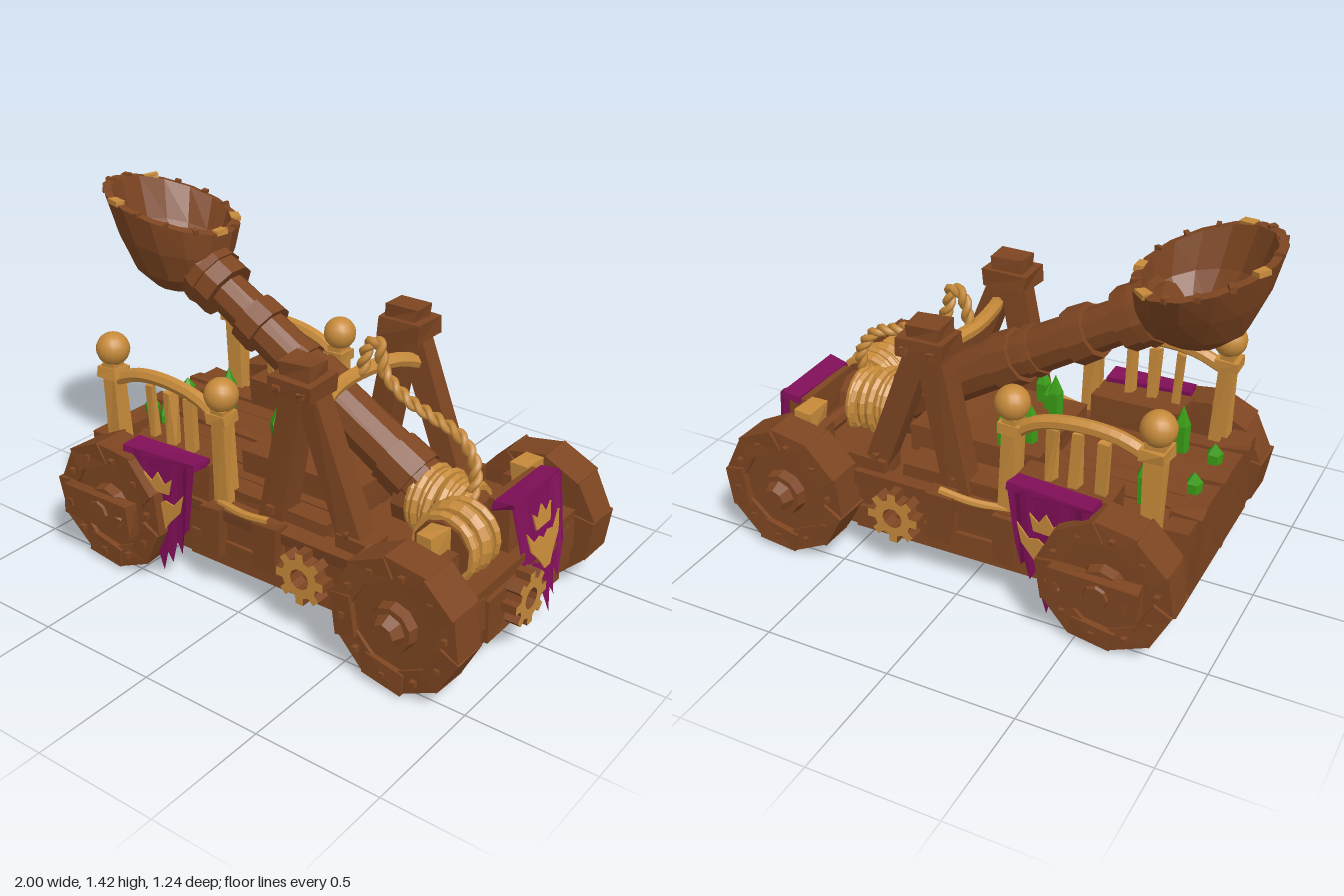
import * as THREE from 'three';

const mat = (name, color) => Object.assign(new THREE.MeshStandardMaterial({ color }), { name });
const V = (x, y, z = 0) => new THREE.Vector3(x, y, z);

export function createModel() {
  const root = new THREE.Group();
  root.name = 'catapult';
  const wood = mat('brown wood', 0x7d4521), tan = mat('pale wood and rope', 0xc68a3a);
  const cloth = mat('purple cloth', 0x800f58), green = mat('green shard', 0x3a9c16);
  cloth.side = THREE.DoubleSide;

  let seed = 7;
  const rnd = () => ((seed = (seed * 16807) % 2147483647) / 2147483647) - 0.5;
  const flat = (g) => {
    const f = g.index ? g.toNonIndexed() : g;
    f.computeVertexNormals();
    return f;
  };
  const bend = (g, rule) => {
    const p = g.attributes.position, v = V(0, 0);
    for (let i = 0; i < p.count; i++) {
      rule(v.fromBufferAttribute(p, i));
      p.setXYZ(i, v.x, v.y, v.z);
    }
    return flat(g);
  };
  const add = (name, geo, m, parent = root) => {
    const mesh = new THREE.Mesh(geo, m);
    mesh.name = name;
    parent.add(mesh);
    return mesh;
  };
  // roughly hewn block: each corner is shifted a little
  const hewn = (w, h, d, amt = 0.007) => {
    const shift = Array.from({ length: 8 }, () => V(rnd() * amt * 2, rnd() * amt * 2, rnd() * amt * 2));
    return bend(new THREE.BoxGeometry(w, h, d), (v) => v.add(shift[(v.x > 0) + 2 * (v.y > 0) + 4 * (v.z > 0)]));
  };
  const box = (name, x0, x1, y0, y1, z0, z1, m = wood, parent = root) => {
    const b = add(name, hewn(x1 - x0, y1 - y0, z1 - z0), m, parent);
    b.position.set((x0 + x1) / 2, (y0 + y1) / 2, (z0 + z1) / 2);
    return b;
  };
  const along = (mesh, a, b) => {
    mesh.position.copy(a).add(b).multiplyScalar(0.5);
    mesh.quaternion.setFromUnitVectors(V(0, 1), b.clone().sub(a).normalize());
    return mesh;
  };
  const beam = (name, a, b, w, d, m = wood) => along(add(name, hewn(w, a.distanceTo(b), d), m), a, b);
  const rod = (name, a, b, r0, r1, m = wood, n = 10) =>
    along(add(name, flat(new THREE.CylinderGeometry(r1, r0, a.distanceTo(b), n)), m), a, b);
  const tube = (name, pts, r, m = tan) =>
    add(name, flat(new THREE.TubeGeometry(new THREE.CatmullRomCurve3(pts), 16, r, 7)), m);

  // chassis and deck
  box('hull', -0.83, 0.91, 0.11, 0.35, -0.4, 0.4);
  for (let i = 0; i < 8; i++) box('deckPlank', -0.83, 0.3, 0.34, 0.42 + rnd() * 0.012, -0.36 + i * 0.09, -0.275 + i * 0.09);
  box('armBed', -0.2, 0.34, 0.4, 0.51, -0.22, 0.22);
  box('rearBeam', -0.85, -0.76, 0.35, 0.46, -0.38, 0.38);
  box('frontBeam', 0.78, 0.93, 0.13, 0.3, -0.26, 0.26);
  box('bannerBeam', 0.77, 0.86, 0.34, 0.54, -0.29, 0.02);
  for (const z of [-0.25, 0, 0.25]) box('rearStrap', -0.865, -0.74, 0.2, 0.475, z - 0.035, z + 0.035);

  // wheel: plank disc, blocky tyre and pointed hub, facing local +z
  const makeWheel = (x, s, planked) => {
    const w = new THREE.Group();
    w.name = 'wheel';
    w.position.set(x, 0.272, s * 0.475);
    if (s < 0) w.rotation.y = Math.PI;
    root.add(w);
    const disc = (name, r0, r1, d, z, n) => {
      const c = add(name, flat(new THREE.CylinderGeometry(r1, r0, d, n)), wood, w);
      c.rotation.x = Math.PI / 2;
      c.position.z = z;
    };
    disc('wheelDisc', 0.2, 0.2, 0.11, 0, 12);
    disc('hub', 0.1, 0.085, 0.07, 0.06, 10);
    disc('hubCap', 0.07, 0.045, 0.06, 0.11, 8);
    disc('axle', 0.07, 0.07, 0.2, -0.14, 8);
    for (let i = 0; i < 10; i++) {
      const a = (i / 10) * Math.PI * 2 + 0.15;
      const t = add('tyreBlock', hewn(0.085, 0.165, 0.14 + (i % 2) * 0.02, 0.005), wood, w);
      t.position.set(Math.cos(a) * 0.212, Math.sin(a) * 0.212, 0);
      t.rotation.z = a;
      const k = add('rimBolt', hewn(0.02, 0.02, 0.02, 0.002), wood, w);
      k.position.set(Math.cos(a) * 0.21, Math.sin(a) * 0.21, 0.08);
    }
    if (planked) {
      box('wheelGuard', -0.19, 0.15, -0.07, 0.06, 0.07, 0.13, wood, w);
      for (const bx of [-0.15, 0.11]) box('guardBolt', bx - 0.012, bx + 0.012, -0.02, 0.01, 0.125, 0.14, wood, w);
    }
  };

  // toothed cog: pale faces, brown edges
  const makeCog = (x, y, z, ry) => {
    const s = new THREE.Shape(), n = 8;
    for (let i = 0; i < n; i++)
      [[-0.3, 0.078], [-0.2, 0.108], [0.2, 0.108], [0.3, 0.078]].forEach(([o, r], j) => {
        const a = ((i + o) / n) * Math.PI * 2;
        s[i + j ? 'lineTo' : 'moveTo'](Math.cos(a) * r, Math.sin(a) * r);
      });
    s.holes.push(new THREE.Path().absarc(0, 0, 0.042, 0, Math.PI * 2, true));
    const g = new THREE.ExtrudeGeometry(s, { depth: 0.06, bevelEnabled: false, curveSegments: 5 });
    const c = add('cog', g, [tan, wood]);
    c.position.set(x, y, z);
    c.rotation.y = ry;
  };
  makeCog(0.935, 0.24, 0.07, Math.PI / 2);

  // ragged banner hanging from its group's origin, with a crown over a pointed mask
  const hem = [0.24, 0.33, 0.3, 0.37, 0.33, 0.43, 0.5, 0.41, 0.45, 0.35, 0.4, 0.3, 0.27];
  const makeBanner = (x, y, z, ry, tilt) => {
    const b = new THREE.Group();
    b.name = 'banner';
    b.position.set(x, y, z);
    b.rotation.set(tilt, ry, 0, 'YXZ');
    root.add(b);
    add('bannerCloth', bend(new THREE.PlaneGeometry(2, 1, 12, 6), (v) => {
      const u = v.x, t = 0.5 - v.y;
      v.set(u * 0.172 * (1 - 0.2 * t), -t * hem[Math.round((u + 1) * 6)], 0.016 * Math.sin(u * 9) * u * u);
    }), cloth, b);
    box('bannerFold', -0.17, 0.17, -0.02, 0.006, -0.085, 0, cloth, b);
    const emblem = (name, pts) => {
      const g = new THREE.ExtrudeGeometry(new THREE.Shape(pts.map((p) => new THREE.Vector2(...p))), { depth: 0.006, bevelEnabled: false });
      add(name, g, tan, b).position.z = 0.008;
    };
    emblem('crownPatch', [[-0.05, -0.145], [0.05, -0.145], [0.066, -0.075], [0.03, -0.105], [0, -0.06], [-0.03, -0.105], [-0.066, -0.075]]);
    emblem('maskPatch', [[-0.118, -0.13], [-0.07, -0.185], [-0.03, -0.175], [0, -0.195], [0.03, -0.175], [0.07, -0.185],
      [0.118, -0.13], [0.1, -0.21], [0.05, -0.265], [0.02, -0.31], [-0.02, -0.31], [-0.05, -0.265], [-0.1, -0.21]]);
  };
  makeBanner(0.88, 0.555, -0.135, Math.PI / 2, -0.17);

  // everything that stands on both sides
  for (const s of [1, -1]) {
    const zbox = (name, x0, x1, y0, y1, z0, z1, m) =>
      box(name, x0, x1, y0, y1, Math.min(s * z0, s * z1), Math.max(s * z0, s * z1), m);
    makeWheel(0.73, s, false);
    makeWheel(-0.61, s, true);
    makeCog(0.28, 0.25, s > 0 ? 0.425 : -0.425, s > 0 ? 0 : Math.PI);
    makeBanner(-0.375, 0.545, s * 0.5, s > 0 ? 0.08 : Math.PI - 0.08, 0);
    zbox('sideRail', -0.8, 0.48, 0.32, 0.37, 0.35, 0.425);
    zbox('sidePlank', -0.3, 0.48, 0.12, 0.22, 0.39, 0.42);
    zbox('rearRail', -0.57, -0.2, 0.37, 0.53, 0.27, 0.42);
    zbox('sideClamp', 0.04, 0.15, 0.19, 0.39, 0.38, 0.455);
    zbox('sideClamp', -0.22, -0.13, 0.17, 0.37, 0.38, 0.45);
    zbox('axleBox', 0.68, 0.92, 0.19, 0.31, 0.25, 0.4);
    zbox('wheelPost', 0.66, 0.82, 0.33, 0.47, 0.28, 0.38);
    zbox('pegWedge', 0.7, 0.77, 0.45, 0.54, 0.27, 0.38, tan);

    // trestle
    const z = s * 0.33;
    beam('trestleLeg', V(0.04, 0.28, z), V(0.17, 0.96, z), 0.105, 0.1);
    beam('trestleLeg', V(0.44, 0.34, z * 0.99), V(0.2, 0.96, z * 0.99), 0.1, 0.09);
    zbox('trestleFoot', 0.36, 0.52, 0.3, 0.42, 0.27, 0.39);
    zbox('trestleCap', 0.09, 0.28, 0.91, 0.985, 0.25, 0.415);
    zbox('trestleCapTop', 0.115, 0.25, 0.975, 1.035, 0.275, 0.385);
    for (const [bx, by] of [[0.13, 0.94], [0.24, 0.94], [0.07, 0.42], [0.41, 0.43]]) {
      const out = by > 0.9 ? 0.405 : 0.37;
      zbox('bolt', bx - 0.013, bx + 0.013, by - 0.013, by + 0.013, out, out + 0.02);
    }

    // fence
    const f = s * 0.365;
    for (const [x, y0, y1] of [[-0.72, 0.42, 0.85], [-0.17, 0.3, 0.81]]) {
      beam('fencePost', V(x + 0.01, y0, f), V(x, y1 - 0.05, f), 0.065, 0.065, tan);
      zbox('postCollar', x - 0.045, x + 0.045, y1 - 0.115, y1 - 0.07, 0.32, 0.41, tan);
      add('postBall', new THREE.SphereGeometry(0.066, 16, 12), tan).position.set(x, y1, f);
    }
    tube('fenceRail', [V(-0.72, 0.72, f), V(-0.58, 0.775, f), V(-0.42, 0.785, f), V(-0.27, 0.755, f), V(-0.17, 0.69, f)], 0.028);
    for (const x of [-0.52, -0.42, -0.32]) beam('baluster', V(x, 0.52, f), V(x - 0.01, 0.75, f), 0.035, 0.035, tan);
    tube('railTie', [V(-0.17, 0.37, s * 0.39), V(-0.03, 0.38, s * 0.42), V(0.1, 0.4, s * 0.43)], 0.016);
  }

  // throwing arm with collars
  const A = V(0.48, 0.5), B = V(-0.62, 1.14);
  const P = (t) => A.clone().lerp(B, t);
  rod('arm', A, B, 0.105, 0.08);
  for (const [t0, t1, r] of [[0.02, 0.12, 0.118], [0.38, 0.46, 0.115], [0.5, 0.53, 0.105], [0.66, 0.73, 0.112], [0.84, 0.97, 0.122], [0.9, 0.93, 0.13]])
    rod('armCollar', P(t0), P(t1), r, r * 0.96);

  // bowl: turned shape, its rim sheared towards the front and one side
  const profile = [[0, 0], [0.11, 0.015], [0.19, 0.08], [0.238, 0.2], [0.262, 0.33], [0.228, 0.335], [0.195, 0.2], [0.12, 0.1], [0, 0.07]];
  const shear = (v) => {
    const t = v.y / 0.33;
    v.y += t * (-0.28 * v.x + 0.17 * v.z);
    v.x += (1 - t) * 0.05;
    v.z = v.z * (0.8 + 0.24 * t) - 0.02 * t;
    return v;
  };
  const bowl = add('bowl', bend(new THREE.LatheGeometry(profile.map((p) => new THREE.Vector2(...p)), 14), shear), wood);
  bowl.position.set(-0.738, 1.0, 0);
  for (let i = 0; i < 14; i++) {
    const a = i * 0.45, chip = i % 4 === 0;
    const c = add(chip ? 'rimChip' : 'rimStitch', hewn(0.035, 0.02, chip ? 0.06 : 0.02, 0.003), chip ? tan : wood, bowl);
    c.position.copy(shear(V(Math.cos(a) * 0.243, 0.332, Math.sin(a) * 0.243)));
    c.rotation.y = -a;
  }

  // windings: torsion coil about the arm foot and winch spool
  const coil = (name, n, at, step, r, axisX) => {
    for (let i = 0; i < n; i++) {
      const c = add(name, flat(new THREE.TorusGeometry(r + rnd() * 0.02, 0.019, 6, 18)), tan);
      c.position.copy(at).addScaledVector(step, i);
      c.rotation.set(rnd() * 0.2, (axisX ? Math.PI / 2 : 0) + rnd() * 0.2, 0);
    }
  };
  coil('torsionCoil', 8, V(0.5, 0.45), V(0.028, -0.004), 0.122, true);
  rod('torsionCore', V(0.42, 0.45), V(0.75, 0.42), 0.12, 0.11);
  coil('winchCoil', 6, V(0.73, 0.43, 0.09), V(0, 0, 0.029), 0.118, false);
  rod('winchDrum', V(0.73, 0.43, 0.06), V(0.73, 0.43, 0.26), 0.115, 0.115);
  rod('winchShaft', V(0.73, 0.4, -0.36), V(0.73, 0.4, 0.36), 0.035, 0.035, wood, 8);

  // crossbar and two-strand rope
  tube('crossbar', [V(0.26, 0.81, -0.33), V(0.22, 0.855, -0.2), V(0.18, 0.86, 0), V(0.2, 0.855, 0.2), V(0.25, 0.82, 0.33)], 0.029);
  const path = new THREE.CatmullRomCurve3([V(0.2, 0.87), V(0.23, 0.99), V(0.27, 1.01), V(0.3, 0.9), V(0.4, 0.82), V(0.52, 0.78), V(0.63, 0.74), V(0.7, 0.64), V(0.71, 0.53, 0.03)]);
  const N = 70, fr = path.computeFrenetFrames(N);
  for (const off of [0, Math.PI]) {
    const pts = [];
    for (let i = 0; i <= N; i++) {
      const a = i * 0.75 + off;
      pts.push(path.getPointAt(i / N).addScaledVector(fr.normals[i], 0.012 * Math.cos(a)).addScaledVector(fr.binormals[i], 0.012 * Math.sin(a)));
    }
    add('ropeStrand', new THREE.TubeGeometry(new THREE.CatmullRomCurve3(pts), 140, 0.015, 6), tan);
  }

  // green shards
  for (const [x, y, z, h] of [[-0.12, 0.5, -0.12, 0.17], [-0.04, 0.5, -0.18, 0.16], [-0.12, 0.5, 0.1, 0.18], [-0.03, 0.5, 0.18, 0.15],
    [-0.08, 0.5, 0.14, 0.12], [-0.61, 0.42, 0.2, 0.2], [-0.61, 0.42, -0.18, 0.18], [-0.77, 0.44, -0.1, 0.1], [-0.77, 0.44, 0.12, 0.1]]) {
    rod('shard', V(x, y - 0.02, z), V(x, y + h * 0.6, z), 0.028, 0.032, green, 5);
    rod('shardTip', V(x, y + h * 0.6, z), V(x, y + h, z), 0.032, 0.001, green, 5);
  }
  return root;
}
